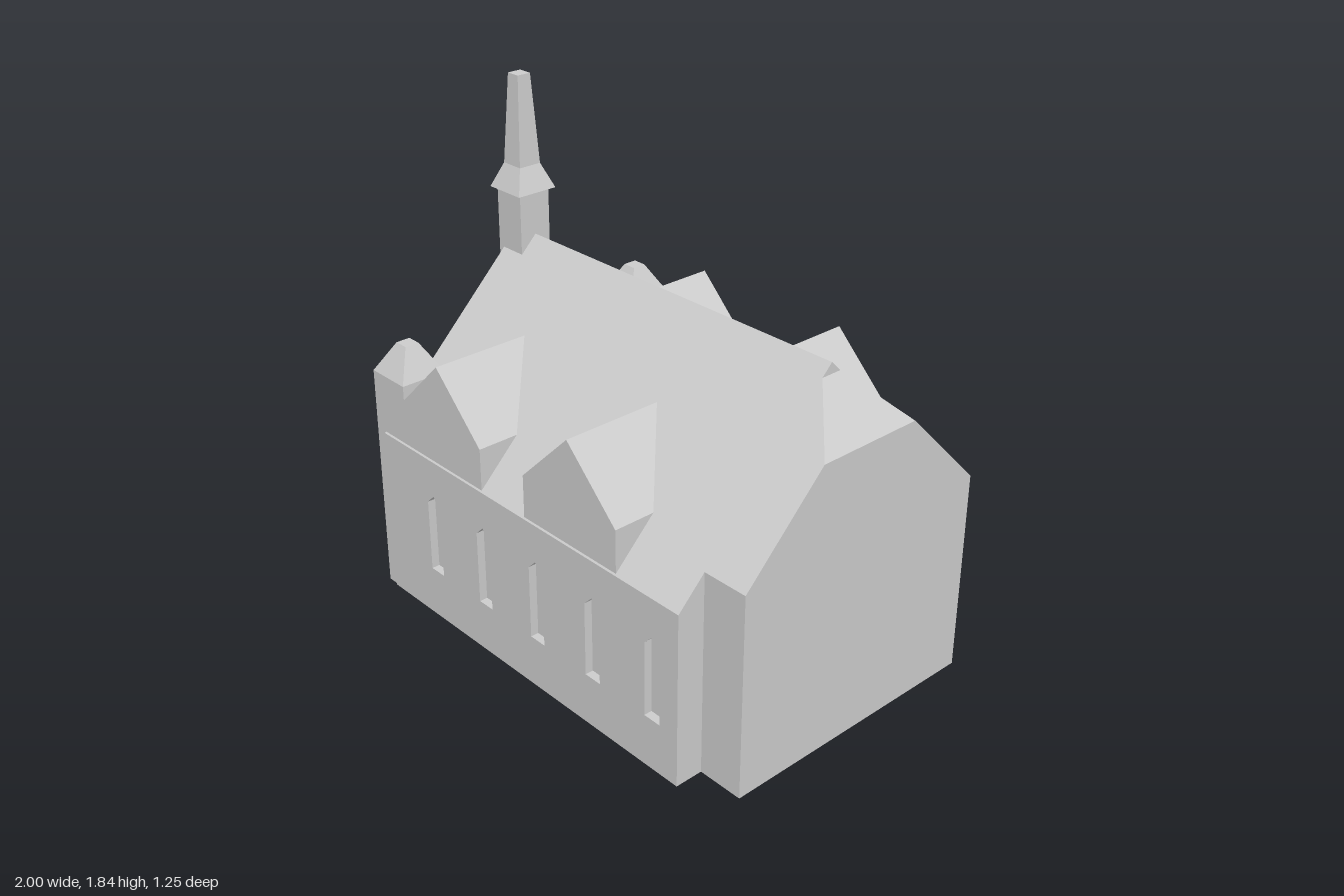
import * as THREE from 'three';
import { ConvexGeometry } from 'three/addons/geometries/ConvexGeometry.js';

const stone = new THREE.MeshStandardMaterial({ color: 0xcccccc });
stone.name = 'pale grey stone';

const V = (x, y, z) => new THREE.Vector3(x, y, z);

function polygon(points, Type = THREE.Shape) {
  return new Type(points.map(([x, y]) => new THREE.Vector2(x, y)));
}

// House-shaped outline, centred on x = 0
function gableShape(half, base, eave, ridge) {
  return polygon(eave > base
    ? [[-half, base], [half, base], [half, eave], [0, ridge], [-half, eave]]
    : [[-half, base], [half, base], [0, ridge]]);
}

// Pointed window or door opening
function lancet(cx, half, bottom, shoulder, tip) {
  return polygon([[cx - half, bottom], [cx - half, shoulder], [cx, tip],
    [cx + half, shoulder], [cx + half, bottom]], THREE.Path);
}

// Extrude a shape along x from x0 to x1
function alongX(shape, x0, x1) {
  return new THREE.ExtrudeGeometry(shape, { depth: x1 - x0, bevelEnabled: false })
    .rotateY(Math.PI / 2).translate(x0, 0, 0);
}

// Square tapering block with flat faces
function frustum(bottom, top, y0, y1) {
  const g = new THREE.CylinderGeometry(top * Math.SQRT2, bottom * Math.SQRT2, y1 - y0, 4)
    .rotateY(Math.PI / 4).translate(0, (y0 + y1) / 2, 0).toNonIndexed();
  g.computeVertexNormals();
  return g;
}

export function createModel() {
  const model = new THREE.Group();
  model.name = 'church';
  const add = (name, geometry, x = 0, z = 0, turn = 0) => {
    const mesh = new THREE.Mesh(geometry, stone);
    mesh.name = name;
    mesh.position.set(x, 0, z);
    mesh.rotation.y = turn;
    model.add(mesh);
  };

  const west = -0.695, east = 0.83, side = 0.625, eave = 0.64, ridge = 1.265, t = 0.03;

  // Nave core and roof
  add('naveCore', new THREE.BoxGeometry(east - west - t, eave, 2 * (side - t))
    .translate((east + west + t) / 2, eave / 2, 0));
  add('naveRoof', alongX(gableShape(side, eave, eave, ridge), west + t, east));

  // Long walls with five lancet recesses each
  const wall = polygon([[west + t, 0], [east, 0], [east, eave], [west + t, eave]]);
  for (const x of [-0.415, -0.133, 0.15, 0.432, 0.715]) {
    wall.holes.push(lancet(x, 0.035, 0.19, 0.465, 0.5));
  }
  const wallGeometry = new THREE.ExtrudeGeometry(wall, { depth: t, bevelEnabled: false });
  add('frontWall', wallGeometry, 0, side - t);
  add('backWall', wallGeometry, 0, -side);

  // Entrance gable with paired lancets
  const gable = gableShape(side, 0, eave, ridge);
  for (const z of [-0.315, -0.22, 0.22, 0.315]) {
    gable.holes.push(lancet(z, 0.027, 0.35, 0.53, 0.56));
  }
  add('entranceGable', alongX(gable, west, west + t));

  // Chancel with clipped roof end
  const chancel = [];
  for (const s of [-1, 1]) {
    chancel.push(V(east, 0, s * 0.52), V(east, 0.745, s * 0.52), V(east, 1.225, s * 0.04),
      V(1, 0, s * 0.52), V(1, 0.745, s * 0.52), V(1, 1.06, s * 0.205));
  }
  add('chancel', new ConvexGeometry(chancel));

  // Dormers running back into the roof slopes
  const dormer = [V(0, 1.02, 0.62), V(0, 1.02, 0.245)];
  for (const s of [-1, 1]) {
    dormer.push(V(s * 0.225, 0.645, 0.62), V(s * 0.225, 0.8, 0.62), V(s * 0.225, 0.8, 0.465));
  }
  const dormerGeometry = new ConvexGeometry(dormer);
  for (const x of [-0.358, 0.32]) {
    add('frontDormer', dormerGeometry, x);
    add('backDormer', dormerGeometry, x, 0, Math.PI);
  }

  // Corner turrets
  const towerX = -0.655;
  for (const s of [-1, 1]) {
    add('turretShaft', frustum(0.09, 0.09, 0, 0.87), towerX, s * 0.53);
    add('turretCap', frustum(0.09, 0.027, 0.87, 0.98), towerX, s * 0.53);
  }

  // Bell tower and spire
  add('bellTower', frustum(0.064, 0.064, 1.14, 1.425), towerX);
  add('spireSkirt', frustum(0.082, 0.045, 1.425, 1.515), towerX);
  add('spire', frustum(0.045, 0.027, 1.515, 1.84), towerX);

  // Porch with recessed door
  add('porch', alongX(gableShape(0.185, 0, 0.26, 0.45), -0.98, west));
  const porchFront = gableShape(0.185, 0, 0.26, 0.45);
  porchFront.holes.push(lancet(0, 0.06, 0.01, 0.16, 0.21));
  add('porchFront', alongX(porchFront, -1, -0.98));

  return model;
}
